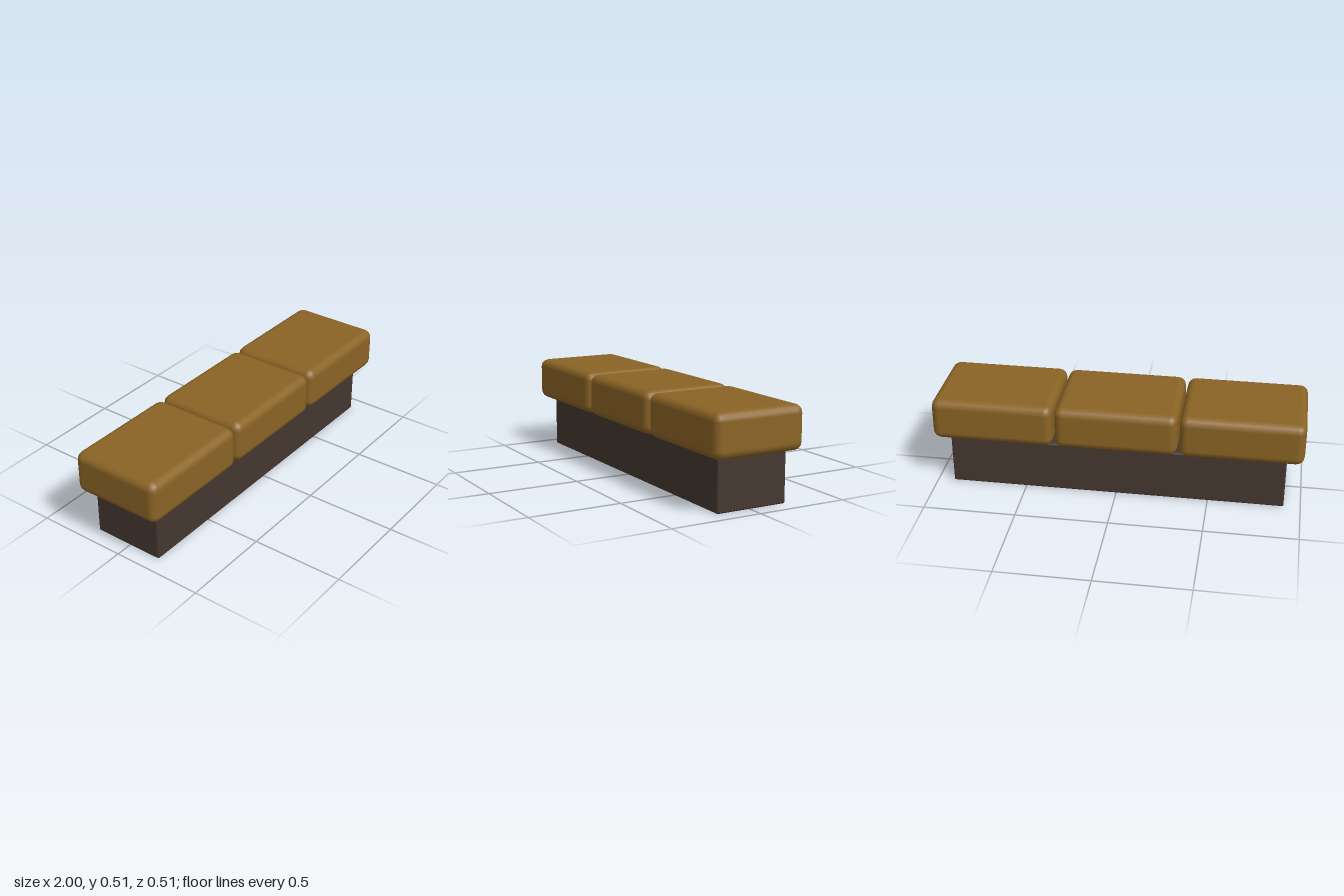
import * as THREE from 'three';
import { RoundedBoxGeometry } from 'three/addons/geometries/RoundedBoxGeometry.js';

export function createModel() {
  const group = new THREE.Group();
  group.name = 'bench';

  const leather = new THREE.MeshStandardMaterial({ color: 0x8b6425 });
  leather.name = 'ochre leather';
  const darkWood = new THREE.MeshStandardMaterial({ color: 0x45372f });
  darkWood.name = 'dark wood';

  // Rounded block with its centre at (x, y, z)
  function block(name, size, radius, segments, position, material) {
    const mesh = new THREE.Mesh(new RoundedBoxGeometry(...size, segments, radius), material);
    mesh.name = name;
    mesh.position.set(...position);
    group.add(mesh);
  }

  // Plinth, set slightly towards the back
  block('base', [1.82, 0.282, 0.402], 0.009, 2, [0, 0.141, -0.009], darkWood);

  // Three seat cushions with narrow gaps
  ['rightCushion', 'middleCushion', 'leftCushion'].forEach((name, i) =>
    block(name, [0.66, 0.233, 0.514], 0.045, 2, [(i - 1) * 0.67, 0.3985, 0], leather));

  return group;
}
